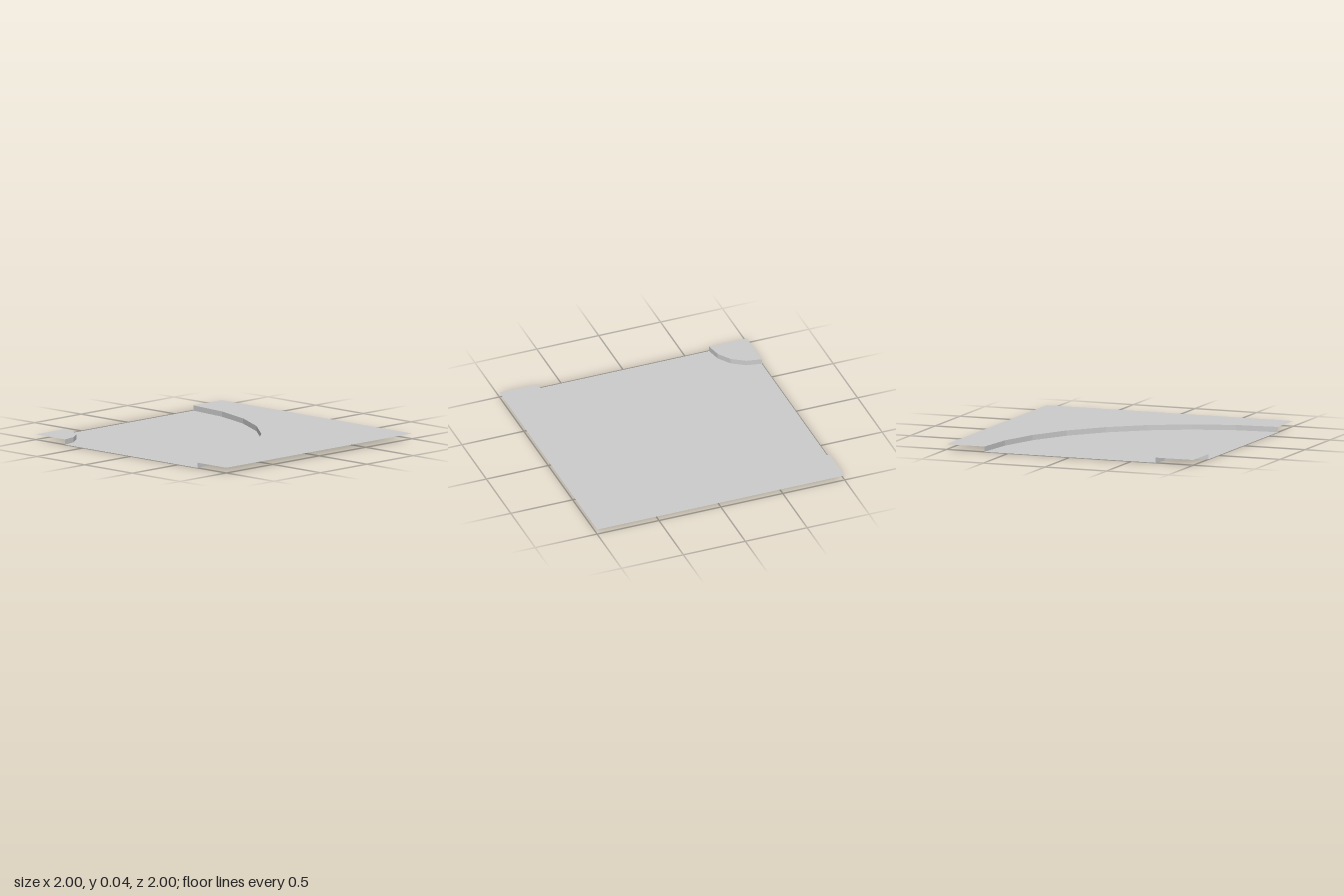
import * as THREE from 'three';

const HEIGHT = 0.04;        // raised verge above the road bed
const INNER = 0.305, OUTER = 1.695;
const INNER_SEGMENTS = 4, OUTER_SEGMENTS = 8;

// Quarter arc about the tile corner (-1, 1), from the front edge to the left edge, in plan (x, -z)
function arc(radius, segments) {
  return Array.from({ length: segments + 1 }, (_, i) => {
    const a = (i / segments) * Math.PI / 2;
    return new THREE.Vector2(-1 + radius * Math.cos(a), -1 + radius * Math.sin(a));
  });
}

export function createModel() {
  const group = new THREE.Group();
  group.name = 'curvedRoadTile';
  const grey = new THREE.MeshStandardMaterial({ color: 0xcccccc, side: THREE.DoubleSide, flatShading: true });
  grey.name = 'grey';

  const add = (name, geometry, x, y, z) => {
    const mesh = new THREE.Mesh(geometry, grey);
    mesh.name = name;
    mesh.position.set(x, y, z);
    group.add(mesh);
  };

  // Flat sheet lying at height y
  const sheet = (name, points, y) =>
    add(name, new THREE.ShapeGeometry(new THREE.Shape(points)).rotateX(-Math.PI / 2), 0, y, 0);

  // Open quarter-round kerb face
  const kerb = (name, radius, segments) =>
    add(name, new THREE.CylinderGeometry(radius, radius, HEIGHT, segments, 1, true, Math.PI / 2, Math.PI / 2),
      -1, HEIGHT / 2, 1);

  const inner = arc(INNER, INNER_SEGMENTS);
  const outer = arc(OUTER, OUTER_SEGMENTS);
  const corner = (x, y) => new THREE.Vector2(x, y);

  // Sunken road and the raised ground on both sides
  sheet('roadBed', [...outer, ...inner.slice().reverse()], 0);
  sheet('innerVerge', [corner(-1, -1), ...inner], HEIGHT);
  sheet('outerVerge', [corner(1, -1), corner(1, 1), corner(-1, 1), ...outer.slice().reverse()], HEIGHT);

  // Kerb faces
  kerb('innerKerb', INNER, INNER_SEGMENTS);
  kerb('outerKerb', OUTER, OUTER_SEGMENTS);

  return group;
}
